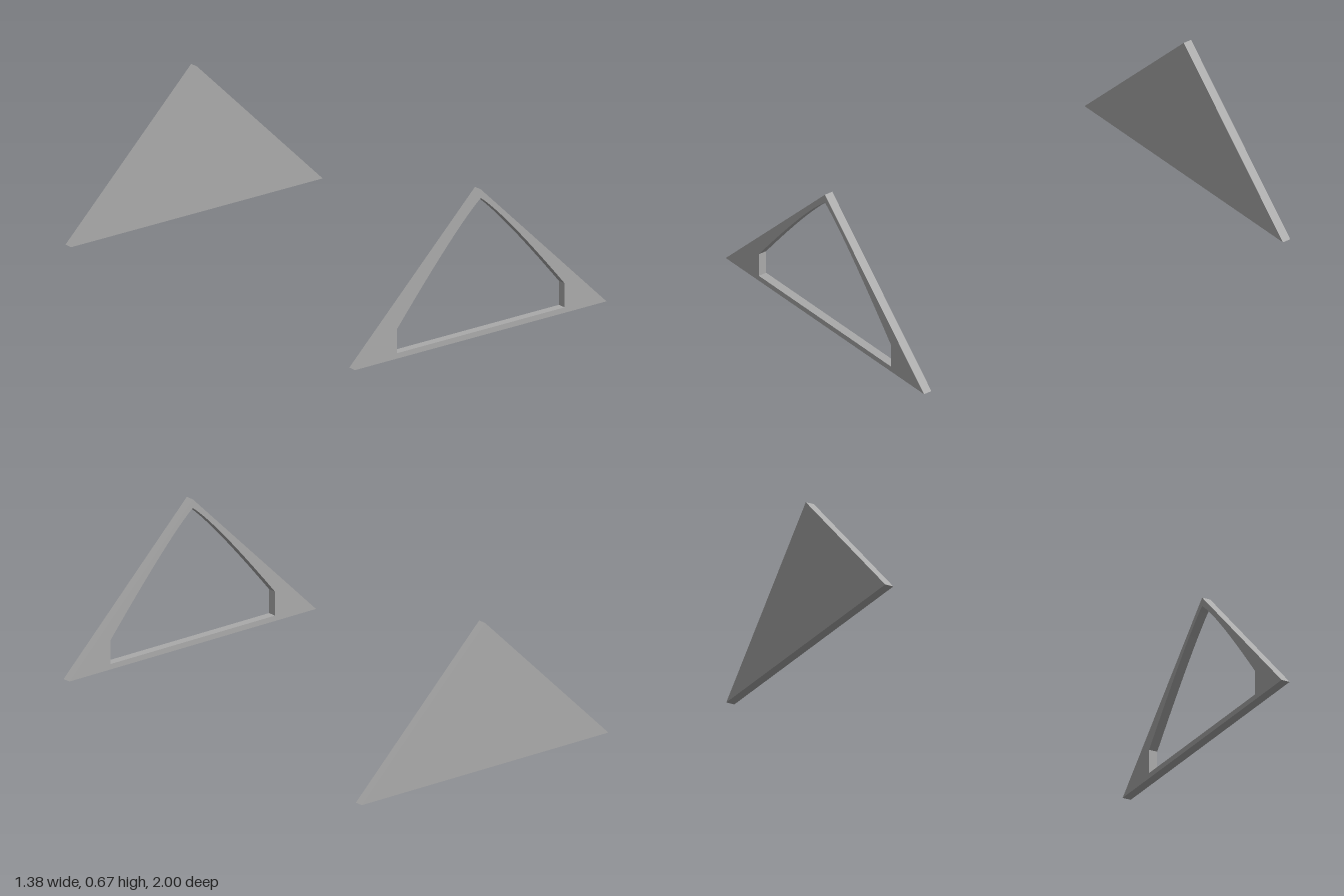
import * as THREE from 'three';

const HALF_WIDTH = 0.69, HEIGHT = 0.67, THICKNESS = 0.04;

// Triangular gable outline standing on y = 0
function gableShape() {
  const shape = new THREE.Shape();
  shape.moveTo(-HALF_WIDTH, 0);
  shape.lineTo(HALF_WIDTH, 0);
  shape.lineTo(0, HEIGHT);
  shape.closePath();
  return shape;
}

// Opening with a flat sill, short upright sides and a pointed, bowed arch
function archOpening() {
  const hole = new THREE.Path();
  hole.moveTo(-0.46, 0.025);
  hole.lineTo(-0.46, 0.135);
  hole.quadraticCurveTo(-0.127, 0.535, 0, 0.63);
  hole.quadraticCurveTo(0.127, 0.535, 0.46, 0.135);
  hole.lineTo(0.46, 0.025);
  hole.closePath();
  return hole;
}

export function createModel() {
  const group = new THREE.Group();
  group.name = 'gables';
  const grey = new THREE.MeshStandardMaterial({ color: 0xaaaaaa });
  grey.name = 'grey';

  const addGable = (name, shape, z) => {
    const geometry = new THREE.ExtrudeGeometry(shape, {
      depth: THICKNESS, bevelEnabled: false, curveSegments: 12,
    });
    const mesh = new THREE.Mesh(geometry, grey);
    mesh.name = name;
    mesh.position.z = z;
    group.add(mesh);
  };

  // Open front gable
  const front = gableShape();
  front.holes.push(archOpening());
  addGable('frontGable', front, 1 - THICKNESS);

  // Solid back gable
  addGable('backGable', gableShape(), -1);

  return group;
}
